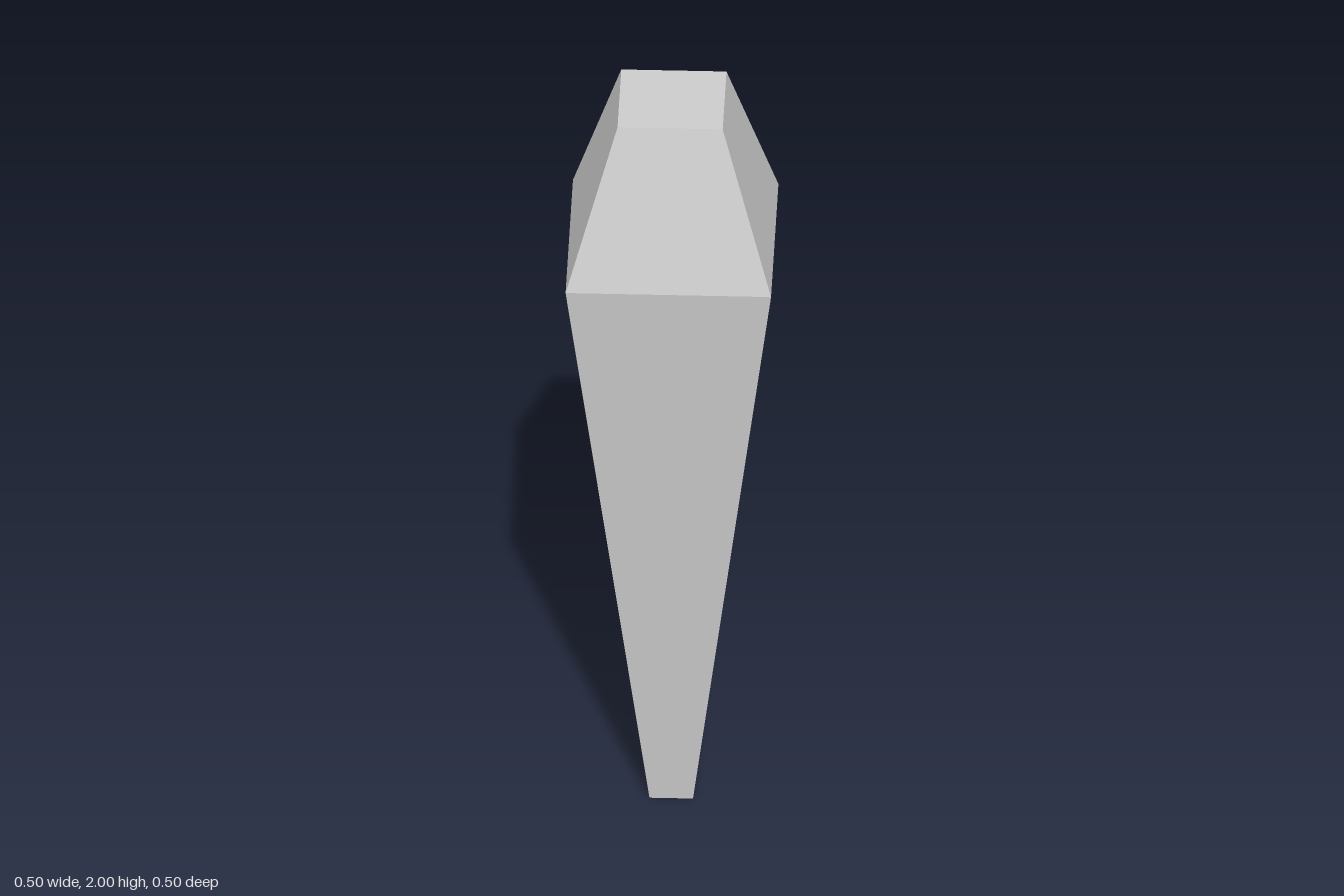
import * as THREE from 'three';

// Half widths of the square cross-sections
const TOP = 0.128, SHOULDER = 0.25, FOOT = 0.053;
const SHOULDER_Y = 1.595, HEIGHT = 2;

export function createModel() {
  const group = new THREE.Group();
  group.name = 'taperedPost';

  const stone = new THREE.MeshStandardMaterial({ color: 0xcccccc });
  stone.name = 'light grey';

  // Four-sided column with one middle ring, sides facing the axes
  const r = Math.SQRT2;
  const column = new THREE.CylinderGeometry(TOP * r, FOOT * r, HEIGHT, 4, 2, false, Math.PI / 4);
  column.translate(0, HEIGHT / 2, 0);

  // Raise the middle ring and widen it into the shoulder
  const p = column.attributes.position;
  for (let i = 0; i < p.count; i++) {
    if (Math.abs(p.getY(i) - HEIGHT / 2) > 0.01) continue;
    p.setXYZ(i, Math.sign(p.getX(i)) * SHOULDER, SHOULDER_Y, Math.sign(p.getZ(i)) * SHOULDER);
  }

  // Flat facets
  const faceted = column.toNonIndexed();
  faceted.computeVertexNormals();

  const body = new THREE.Mesh(faceted, stone);
  body.name = 'body';
  group.add(body);
  return group;
}
